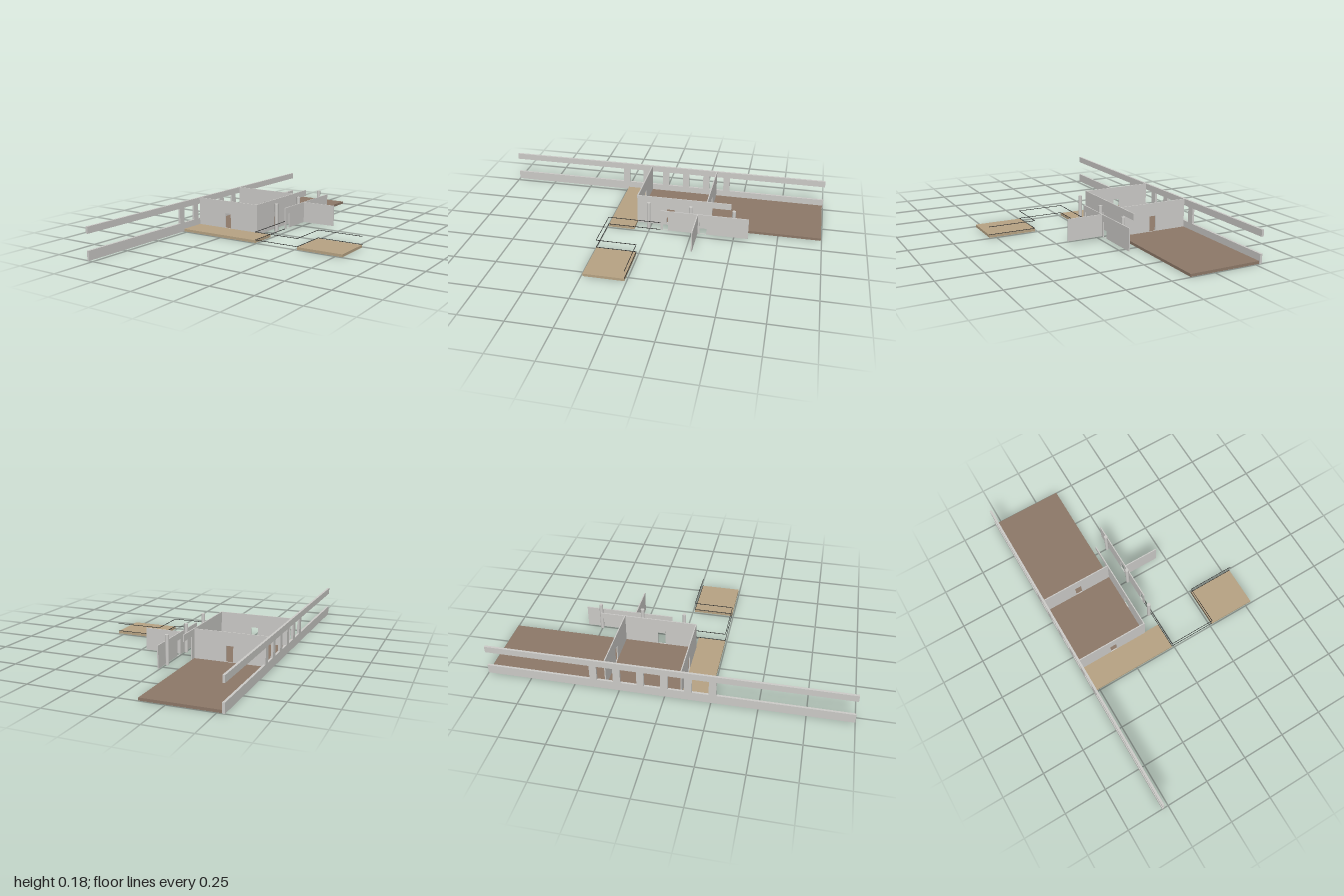
import * as THREE from 'three';

const material = (name, color, side = THREE.FrontSide) => {
  const m = new THREE.MeshStandardMaterial({ color, side });
  m.name = name;
  return m;
};

export function createModel() {
  const group = new THREE.Group();
  group.name = 'pavilion';
  const grey = material('wall grey', 0xcccbc8);
  const brown = material('floor brown', 0x8d7868);
  const tan = material('deck tan', 0xb7a383);
  const dark = material('rail dark', 0x2a2a2a);

  const add = (name, geometry, mat) => {
    const mesh = new THREE.Mesh(geometry, mat);
    mesh.name = name;
    group.add(mesh);
    return mesh;
  };

  // Box given by its minimum and maximum along each axis
  const block = (name, mat, x0, x1, y0, y1, z0, z1) =>
    add(name, new THREE.BoxGeometry(x1 - x0, y1 - y0, z1 - z0), mat)
      .position.set((x0 + x1) / 2, (y0 + y1) / 2, (z0 + z1) / 2);

  // Upright wall outlined in (along, up), with doorways as [from, to, bottom, top]
  const wallGeometry = (a0, a1, y0, y1, thickness, doors) => {
    const shape = new THREE.Shape();
    shape.moveTo(a0, y0).lineTo(a1, y0).lineTo(a1, y1).lineTo(a0, y1).closePath();
    for (const [d0, d1, b, t] of doors) {
      const hole = new THREE.Path();
      hole.moveTo(d0, b).lineTo(d0, t).lineTo(d1, t).lineTo(d1, b).closePath();
      shape.holes.push(hole);
    }
    return new THREE.ExtrudeGeometry(shape, { depth: thickness, bevelEnabled: false })
      .translate(0, 0, -thickness / 2);
  };
  const wallAlongX = (name, x0, x1, y0, y1, z, doors = []) =>
    add(name, wallGeometry(x0, x1, y0, y1, 0.006, doors), grey).position.z = z;
  // Turned so that the outline's horizontal axis runs along -z
  const wallAlongZ = (name, z0, z1, y0, y1, x, doors = []) => {
    const flipped = doors.map(([a, b, c, d]) => [-b, -a, c, d]);
    const mesh = add(name, wallGeometry(-z1, -z0, y0, y1, 0.006, flipped), grey);
    mesh.rotation.y = Math.PI / 2;
    mesh.position.x = x;
  };

  // Floors and decks
  block('roomFloor', brown, -0.525, -0.11, 0, 0.015, -0.328, 0.087);
  block('backFloor', brown, -0.525, -0.11, 0, 0.015, -0.995, -0.33);
  block('frontDeck', tan, -0.525, -0.012, 0, 0.015, 0.087, 0.243);
  block('sideDeck', tan, 0.262, 0.537, 0, 0.015, -0.013 + 0.025, 0.243);

  // Long wall: two bands joined by posts
  block('longWallLower', grey, -0.538, -0.525, 0, 0.053, -1, 1);
  block('longWallUpper', grey, -0.538, -0.525, 0.143, 0.18, -1, 1);
  for (let i = 0; i < 6; i++) {
    const z = 0.257 - i * 0.13;
    block('longWallPost', grey, -0.538, -0.525, 0.053, 0.143, z - 0.02, z + 0.02);
  }

  // Room walls
  const door = [-0.333, -0.293, 0.0155, 0.105];
  wallAlongX('frontWall', -0.525, -0.104, 0.001, 0.18, 0.087, [door]);
  wallAlongX('backWall', -0.525, -0.11, 0.001, 0.18, -0.328, [door]);
  wallAlongZ('roomSideWall', -0.36, 0.09, 0.001, 0.18, -0.107, [[-0.135, -0.09, 0.0155, 0.105]]);
  block('roomSideBeam', grey, -0.11, -0.104, 0.143, 0.18, -0.47, -0.36);

  // Free-standing screen and its cross wall
  wallAlongZ('screenWall', -0.583, -0.07, 0.018, 0.143, -0.013,
    [[-0.115, -0.085, 0.0185, 0.105], [-0.342, -0.302, 0.0185, 0.105]]);
  wallAlongX('crossWall', -0.01, 0.197, 0.018, 0.143, -0.288);

  // Round columns
  for (const z of [0.003, -0.245, -0.495]) {
    add('column', new THREE.CylinderGeometry(0.0105, 0.0105, 0.165, 24), grey)
      .position.set(-0.025, 0.0975, z);
  }

  // Thin rails at two heights following the deck edges
  const path = [[-0.012, -0.07], [-0.012, 0.243], [0.262, 0.243], [0.262, 0.012], [0.537, 0.012]];
  const r = 0.0013;
  for (const y of [0.0175, 0.063]) {
    for (let i = 0; i < path.length - 1; i++) {
      const [ax, az] = path[i], [bx, bz] = path[i + 1];
      block('rail', dark, Math.min(ax, bx) - r, Math.max(ax, bx) + r, y - r, y + r,
        Math.min(az, bz) - r, Math.max(az, bz) + r);
    }
  }
  return group;
}
